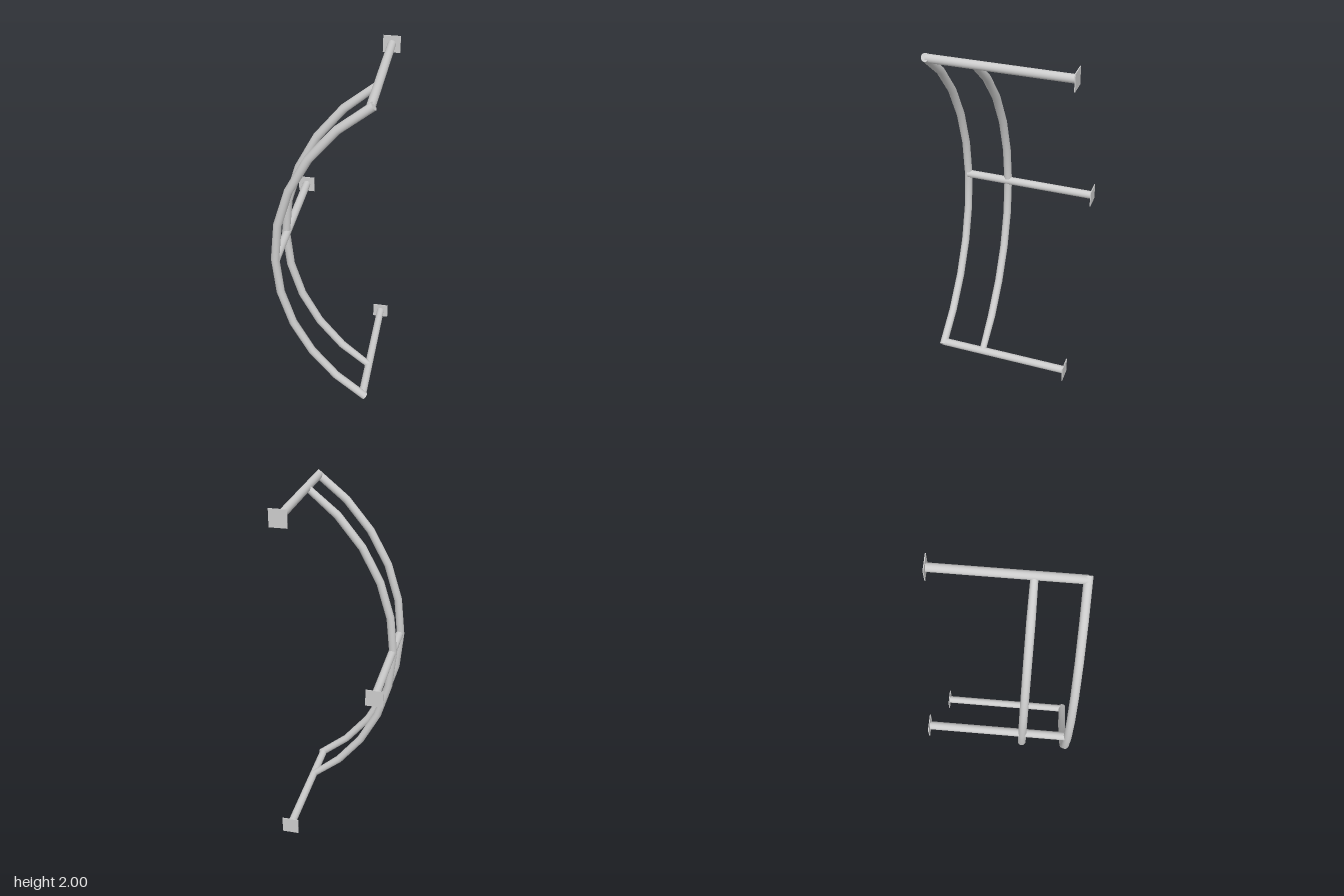
import * as THREE from 'three';

const R = 0.023;            // pipe radius
const SIDES = 20;
const BEND = 1.158;         // radius of the bowed rails
const CENTRE_X = 0.905;     // centre of the bow, at y = 1

// Circular bow in a plane of constant z, spanning -half..half radians
class Bow extends THREE.Curve {
  constructor(half, z) {
    super();
    this.half = half;
    this.z = z;
  }
  getPoint(t, target = new THREE.Vector3()) {
    const a = (t * 2 - 1) * this.half;
    return target.set(CENTRE_X - BEND * Math.cos(a), 1 + BEND * Math.sin(a), this.z);
  }
}

export function createModel() {
  const model = new THREE.Group();
  model.name = 'bowedRack';
  const material = new THREE.MeshStandardMaterial({ color: 0xcccccc });

  const add = (name, geometry, x = 0, y = 0, z = 0) => {
    const mesh = new THREE.Mesh(geometry, material);
    mesh.name = name;
    mesh.position.set(x, y, z);
    model.add(mesh);
    return mesh;
  };

  // Bowed rail of ten straight sections; its end rings may be narrowed
  const addRail = (name, degrees, z, endScale) => {
    const curve = new Bow(THREE.MathUtils.degToRad(degrees), z);
    const geometry = new THREE.TubeGeometry(curve, 10, R, SIDES);
    const pos = geometry.attributes.position;
    const v = new THREE.Vector3();
    for (const [ring, t] of [[0, 0], [10, 1]]) {
      const c = curve.getPoint(t);
      for (let i = 0; i <= SIDES; i++) {
        const k = ring * (SIDES + 1) + i;
        v.fromBufferAttribute(pos, k).sub(c).multiplyScalar(endScale).add(c);
        pos.setXYZ(k, v.x, v.y, v.z);
      }
    }
    add(name, geometry);
    // flat end caps
    for (const t of [0, 1]) {
      const c = curve.getPoint(t);
      const out = curve.getTangent(t).multiplyScalar(t ? 1 : -1);
      const cap = add(name + 'Cap', new THREE.CircleGeometry(R * endScale, SIDES), c.x, c.y, c.z);
      cap.quaternion.setFromUnitVectors(new THREE.Vector3(0, 0, 1), out);
    }
  };
  addRail('frontRail', 56.2, 0.38, 1);
  addRail('innerRail', 55.3, 0.124, 0.85);

  // Standoff posts running back to square mounting plates
  const mounts = [
    ['bottom', 0.245, 0.048],
    ['middle', -0.247, 1],
    ['top', 0.245, 1.952],
  ];
  for (const [name, x, y] of mounts) {
    const post = new THREE.CylinderGeometry(R, R, 0.78, SIDES).rotateX(Math.PI / 2);
    add(name + 'Post', post, x, y, -0.01);
    add(name + 'Plate', new THREE.BoxGeometry(0.096, 0.096, 0.005), x, y, -0.4005);
  }
  return model;
}
